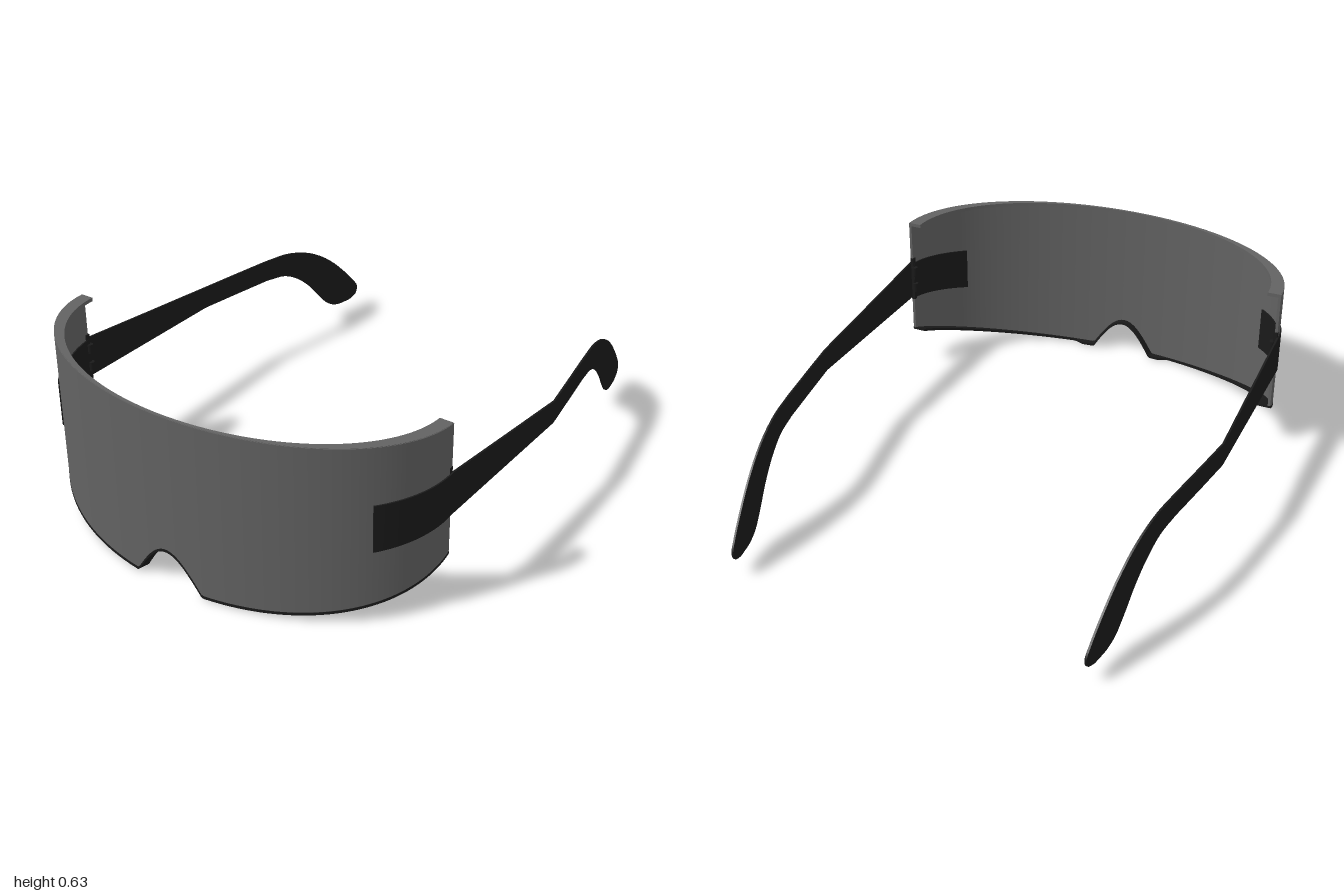
import * as THREE from 'three';

const CX = 0.005, CZ = 0.52, A = 0.755, B = 0.472, TOP = 0.627;
const V = (x, y, z) => new THREE.Vector3(x, y, z);
const lerp = THREE.MathUtils.lerp;

// Sweeps a four-cornered section [outer bottom, outer top, inner top, inner bottom]
// with sharp long edges, smooth shading along its length, and closed ends.
function band(name, material, n, section) {
  const rings = [], pos = [], idx = [];
  for (let i = 0; i <= n; i++) rings.push(section(i / n));
  for (let k = 0; k < 4; k++) {
    const base = pos.length / 3;
    rings.forEach(r => pos.push(...r[k].toArray(), ...r[(k + 1) % 4].toArray()));
    for (let i = 0; i < n; i++) {
      const a = base + i * 2, b = a + 2;
      idx.push(a, b, b + 1, a, b + 1, a + 1);
    }
  }
  [rings[0], [...rings[n]].reverse()].forEach(r => {
    const c = pos.length / 3;
    r.forEach(p => pos.push(...p.toArray()));
    idx.push(c, c + 1, c + 2, c, c + 2, c + 3);
  });
  const g = new THREE.BufferGeometry();
  g.setAttribute('position', new THREE.Float32BufferAttribute(pos, 3));
  g.setIndex(idx);
  g.computeVertexNormals();
  const mesh = new THREE.Mesh(g, material);
  mesh.name = name;
  return mesh;
}

// Point on the curved front, shrunk by da sideways and db in depth
const onLens = (th, y, da = 0, db = da) =>
  V(CX + (A - da) * Math.sin(th), y, CZ + (B - db) * Math.cos(th));

// Lower edge: rises toward the temples, with an arched nose notch
function lowerEdge(th) {
  const x = CX + A * Math.sin(th);
  const y = 0.155 * Math.pow(Math.max(0, 1 - Math.cos(th)), 1.25);
  const u = Math.abs(x - 0.013) / 0.132;
  return u < 1 ? Math.max(y, 0.127 * Math.cos(u * Math.PI / 2)) : y;
}

// Plan position of a temple at depth z; [z, x] stations
function planX(stations, z) {
  for (let i = 1; i < stations.length; i++) {
    const [z0, x0] = stations[i - 1], [z1, x1] = stations[i];
    if (z >= z1 || i === stations.length - 1) return lerp(x0, x1, (z - z0) / (z1 - z0));
  }
}

export function createModel() {
  const model = new THREE.Group();
  const smoke = new THREE.MeshStandardMaterial({ color: 0x626262 });
  smoke.name = 'smoke grey';
  const black = new THREE.MeshStandardMaterial({ color: 0x1a1a1a });
  black.name = 'black';
  const angle = t => (t - 0.5) * Math.PI;

  // Wraparound lens
  model.add(band('lens', smoke, 240, t => {
    const th = angle(t), y = lowerEdge(th) + 0.008;
    return [onLens(th, y), onLens(th, TOP), onLens(th, TOP, 0.01), onLens(th, y, 0.01)];
  }));

  // Top flange, widening toward the temples
  model.add(band('topFlange', smoke, 96, t => {
    const th = angle(t), y = TOP - 0.012;
    return [onLens(th, y, 0.002), onLens(th, TOP + 0.001, 0.002),
      onLens(th, TOP + 0.001, 0.05, 0.012), onLens(th, y, 0.05, 0.012)];
  }));

  // Bottom trim, deeper around the nose
  model.add(band('bottomTrimAndNoseRest', black, 240, t => {
    const th = angle(t), y = lowerEdge(th);
    const u = Math.abs(A * Math.sin(th) - 0.012);
    const deep = 0.012 + 0.022 * (1 - THREE.MathUtils.smoothstep(u, 0.17, 0.23));
    return [onLens(th, y, -0.001), onLens(th, y + 0.01, -0.001),
      onLens(th, y + 0.01, 0.05, deep), onLens(th, y, 0.05, deep)];
  }));

  // Temple outline: lower and upper edges of the curved ear hook as [z, y]
  const curve = pts => new THREE.CatmullRomCurve3(pts.map(([z, y]) => V(0, y, z)));
  const hookLow = curve([[-0.47, 0.305], [-0.57, 0.292], [-0.65, 0.25], [-0.72, 0.19],
    [-0.78, 0.12], [-0.83, 0.072], [-0.88, 0.053], [-0.93, 0.051]]);
  const hookTop = curve([[-0.47, 0.39], [-0.6, 0.382], [-0.72, 0.345], [-0.82, 0.285],
    [-0.91, 0.205], [-0.97, 0.14], [-0.998, 0.1], [-0.99, 0.068], [-0.95, 0.051]]);
  const pairs = [
    [V(0, 0.303, 0.52), V(0, 0.455, 0.52)],
    [V(0, 0.304, 0.2), V(0, 0.423, 0.2)],
    [V(0, 0.305, -0.14), V(0, 0.39, -0.14)],
    [V(0, 0.305, -0.3), V(0, 0.39, -0.3)],
  ];
  for (let i = 0; i <= 28; i++) pairs.push([hookLow.getPoint(i / 28), hookTop.getPoint(i / 28)]);

  const sides = [
    { side: 1, label: 'left', plan: [[0.52, 0.762], [-0.14, 0.762], [-0.4, 0.718], [-1, 0.612]] },
    { side: -1, label: 'right', plan: [[0.52, -0.752], [-0.14, -0.765], [-0.4, -0.73], [-1, -0.638]] },
  ];
  for (const { side, label, plan } of sides) {
    const along = t => (side > 0 ? t : 1 - t);

    // Thin temple with ear hook
    model.add(band(label + 'Temple', black, pairs.length - 1, t => {
      const [lo, hi] = pairs[Math.round(along(t) * (pairs.length - 1))];
      const at = (p, d) => V(planX(plan, p.z) + side * d, p.y, p.z);
      return [at(lo, 0.003), at(hi, 0.003), at(hi, -0.004), at(lo, -0.004)];
    }));

    // Mounting plate hugging both faces of the lens
    model.add(band(label + 'MountingPlate', black, 20, t => {
      const k = along(t), th = side * lerp(1.01, Math.PI / 2, k);
      const f = 1 - Math.cos(th) / 0.53;
      const lo = lerp(0.262, 0.303, f), hi = lerp(0.428, 0.455, f);
      return [onLens(th, lo, -0.005), onLens(th, hi, -0.005),
        onLens(th, hi, 0.015), onLens(th, lo, 0.015)];
    }));

    // Hinge block with two knuckles
    const hinge = new THREE.Group();
    hinge.name = label + 'Hinge';
    const block = new THREE.Mesh(new THREE.BoxGeometry(0.014, 0.18, 0.016), black);
    block.name = 'hingeBlock';
    hinge.add(block);
    for (const y of [-0.035, 0.035]) {
      const knuckle = new THREE.Mesh(new THREE.CylinderGeometry(0.011, 0.011, 0.035, 12), black);
      knuckle.name = 'hingeKnuckle';
      knuckle.position.set(-side * 0.01, y, -0.004);
      hinge.add(knuckle);
    }
    hinge.position.set(CX + side * 0.748, 0.385, 0.525);
    model.add(hinge);
  }
  return model;
}
